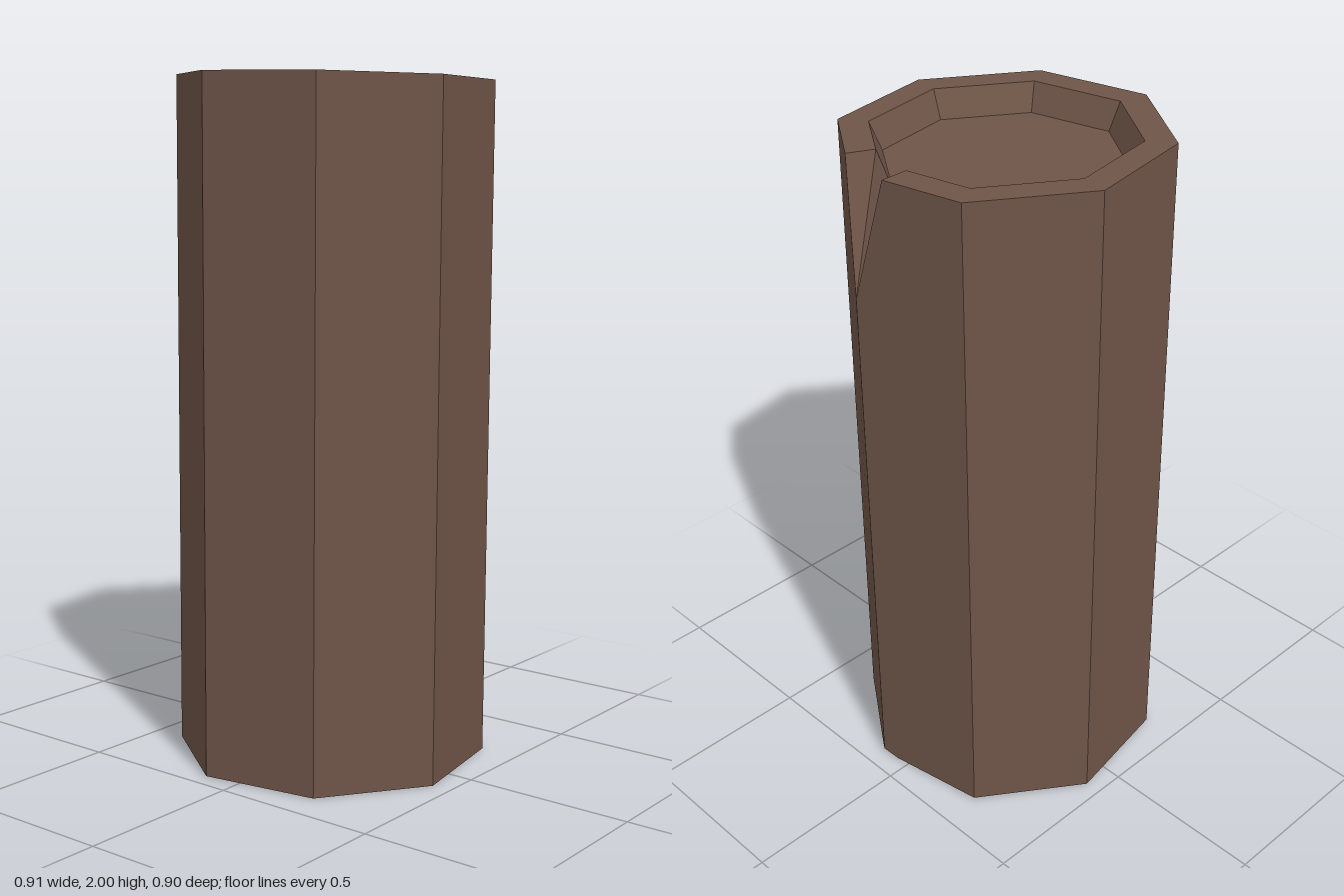
import * as THREE from 'three';

const SIDES = 8, PHASE = THREE.MathUtils.degToRad(12.6), NOTCH = 6;

// Octagon ring of points; the height follows a slight slope in x
function ring(radius, cx, y, slope) {
  return Array.from({ length: SIDES }, (_, i) => {
    const a = PHASE + i * Math.PI * 2 / SIDES;
    const x = cx + radius * Math.cos(a);
    return new THREE.Vector3(x, y + slope * x, 0.006 + radius * Math.sin(a));
  });
}

// Flat-faced mesh from convex polygons
function polyMesh(name, polys, material, flip = false) {
  const pos = [];
  for (const p of polys) {
    for (let i = 1; i < p.length - 1; i++) {
      const tri = flip ? [p[0], p[i + 1], p[i]] : [p[0], p[i], p[i + 1]];
      tri.forEach(v => pos.push(v.x, v.y, v.z));
    }
  }
  const g = new THREE.BufferGeometry();
  g.setAttribute('position', new THREE.Float32BufferAttribute(pos, 3));
  g.computeVertexNormals();
  const mesh = new THREE.Mesh(g, material);
  mesh.name = name;
  return mesh;
}

// One log end: rim, sunken floor and a notch cut through the rim at one corner
function logEnd({ cx, y, slope, dir, notchDepth, left, right }) {
  const outer = ring(0.459, cx, y, slope);
  const inner = ring(0.372, cx, y, slope);
  const floor = ring(0.337, cx, y - dir * 0.08, slope);
  const cut = (r, to, t) => r[NOTCH].clone().lerp(r[to], t);
  const oL = cut(outer, NOTCH - 1, left), oR = cut(outer, NOTCH + 1, right);
  const iL = cut(inner, NOTCH - 1, left), iR = cut(inner, NOTCH + 1, right);
  const tip = outer[NOTCH].clone();
  tip.y -= dir * notchDepth;

  const polys = [floor.slice().reverse()];
  const edges = []; // outline of each side face along this end
  for (let i = 0; i < SIDES; i++) {
    const j = (i + 1) % SIDES;
    const oa = i === NOTCH ? oR : outer[i], ob = j === NOTCH ? oL : outer[j];
    const ia = i === NOTCH ? iR : inner[i], ib = j === NOTCH ? iL : inner[j];
    polys.push([oa, ia, ib, ob]);             // rim
    polys.push([ia, floor[i], floor[j], ib]); // recess wall
    const edge = [oa, ob];
    if (i === NOTCH) edge.unshift(tip);
    if (j === NOTCH) edge.push(tip);
    edges.push(edge);
  }
  // Notch cheeks
  polys.push([oL, iL, floor[NOTCH], tip], [tip, floor[NOTCH], iR, oR]);
  return { polys, edges };
}

export function createModel() {
  const group = new THREE.Group();
  group.name = 'log';
  const bark = new THREE.MeshStandardMaterial({ color: 0x6f5548 });
  bark.name = 'bark brown';

  const top = logEnd({ cx: 0.007, y: 1.988, slope: -0.026, dir: 1, notchDepth: 0.365, left: 0.3, right: 0.32 });
  const bottom = logEnd({ cx: -0.007, y: 0.004, slope: -0.006, dir: -1, notchDepth: 0.012, left: 0.15, right: 0.15 });

  // Side faces join the two end outlines
  const sides = top.edges.map((edge, i) => [...bottom.edges[i].slice().reverse(), ...edge]);

  group.add(
    polyMesh('barkSides', sides, bark),
    polyMesh('topEnd', top.polys, bark),
    polyMesh('bottomEnd', bottom.polys, bark, true),
  );
  return group;
}
